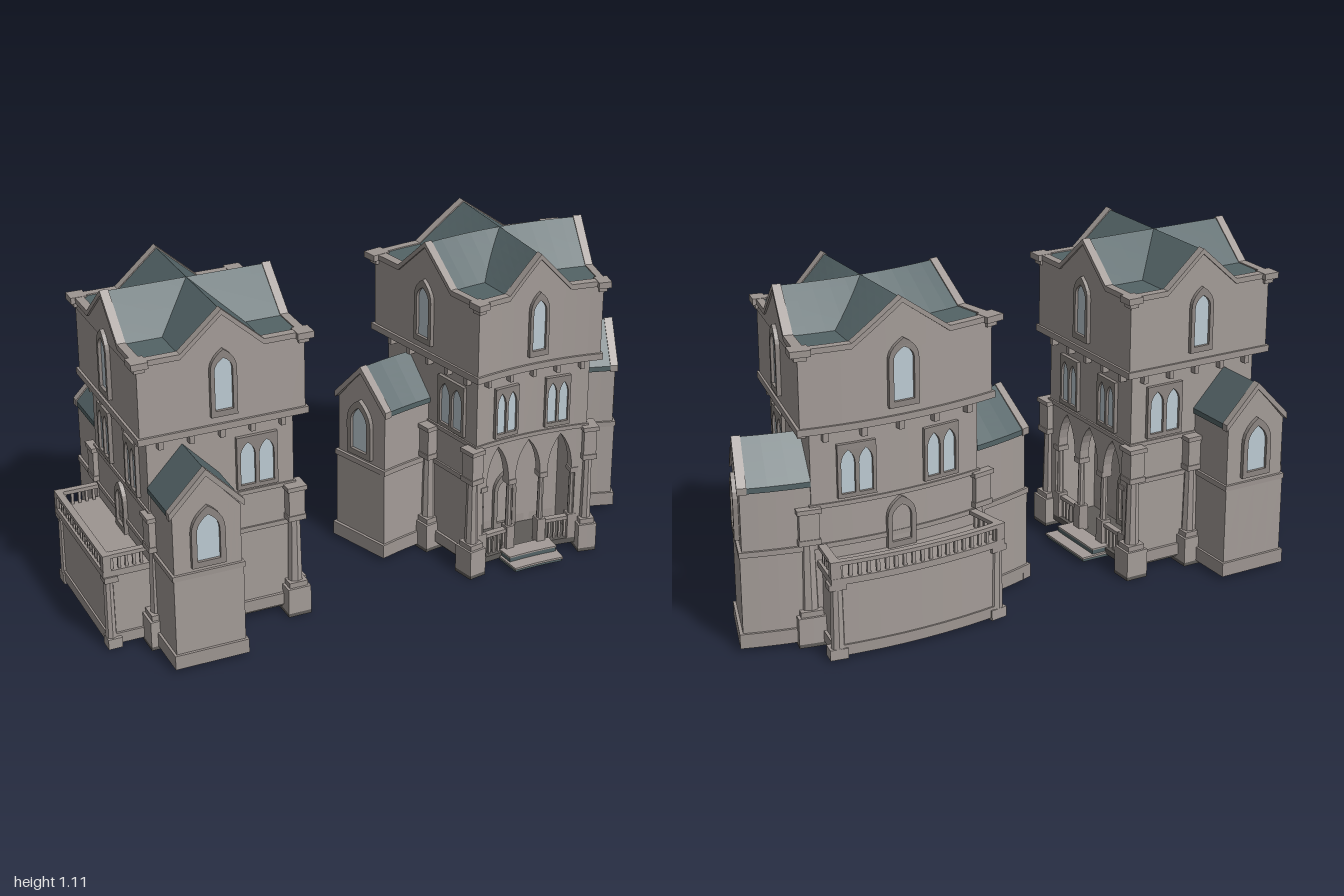
import * as THREE from 'three';

const mats = {};
for (const [name, color] of [['stone', 0xa39b97], ['trimStone', 0x9d9591], ['frameStone', 0x8c8581],
  ['slate', 0x536366], ['glass', 0xbccad2], ['darkFloor', 0x5e5b58]]) {
  mats[name] = new THREE.MeshStandardMaterial({ color });
  mats[name].name = name;
}
const { stone, trimStone, frameStone, slate, glass, darkFloor } = mats;

// outline of a pointed arch
function arch(path, cx, half, y0, spring, apex) {
  const k = spring + (apex - spring) * 0.6;
  path.moveTo(cx - half, y0);
  path.lineTo(cx + half, y0);
  path.lineTo(cx + half, spring);
  path.quadraticCurveTo(cx + half, k, cx, apex);
  path.quadraticCurveTo(cx - half, k, cx - half, spring);
  path.lineTo(cx - half, y0);
  return path;
}
function rect(x0, x1, y0, y1) {
  return new THREE.Shape([[x0, y0], [x1, y0], [x1, y1], [x0, y1]].map(p => new THREE.Vector2(...p)));
}
const place = (angle, x, z) => new THREE.Matrix4().makeRotationY(angle).setPosition(x, 0, z);
const extrude = (shape, depth) => new THREE.ExtrudeGeometry(shape, { depth, bevelEnabled: false, curveSegments: 5 });

// one house facing +z; warp moves every vertex of the finished parts
function house(warp) {
  const group = new THREE.Group();
  const v = new THREE.Vector3();

  function put(name, mat, geometry, matrix) {
    if (matrix) geometry.applyMatrix4(matrix);
    const g = geometry.index ? geometry.toNonIndexed() : geometry;
    const p = g.attributes.position;
    for (let i = 0; i < p.count; i++) {
      warp(v.fromBufferAttribute(p, i));
      p.setXYZ(i, v.x, v.y, v.z);
    }
    g.computeVertexNormals();
    const mesh = new THREE.Mesh(g, mat);
    mesh.name = name;
    group.add(mesh);
  }
  const cuts = s => Math.max(1, Math.ceil(s / 0.06));
  function box(name, mat, w, y0, y1, d, x = 0, z = 0) {
    put(name, mat, new THREE.BoxGeometry(w, y1 - y0, d, cuts(w), 1, cuts(d)).translate(x, (y0 + y1) / 2, z));
  }
  // box whose top (or whole height, for a band) follows a gable line
  function gable(name, mat, w, y0, y1, d, rise, half, matrix, band = false) {
    const g = new THREE.BoxGeometry(w, y1 - y0, d, 2 * Math.round(w / 2 / half * 6), 1, cuts(d));
    const p = g.attributes.position;
    for (let i = 0; i < p.count; i++) {
      const lift = band || p.getY(i) > 0 ? rise * Math.max(0, 1 - Math.abs(p.getX(i)) / half) : 0;
      p.setY(i, p.getY(i) + (y0 + y1) / 2 + lift);
    }
    put(name, mat, g, matrix);
  }
  function lancet(name, half, y0, y1, matrix, fill = glass) {
    const inner = half * 0.68, rise = half * 1.6;
    const args = [0, inner, y0 + 0.02, y1 - rise, y1 - 0.028];
    const shape = arch(new THREE.Shape(), 0, half, y0, y1 - rise, y1);
    shape.holes.push(arch(new THREE.Path(), ...args));
    put(name + 'Frame', frameStone, extrude(shape, 0.014), matrix);
    put(name + 'Pane', fill, extrude(arch(new THREE.Shape(), ...args), 0.004), matrix);
  }
  function pairWindow(half, y0, y1, matrix) {
    const shape = rect(-half, half, y0, y1);
    for (const s of [-1, 1]) {
      const args = [s * half * 0.46, half * 0.36, y0 + 0.014, y1 - 0.065, y1 - 0.02];
      shape.holes.push(arch(new THREE.Path(), ...args));
      put('pairedPane', glass, extrude(arch(new THREE.Shape(), ...args), 0.004), matrix);
    }
    put('pairedFrame', frameStone, extrude(shape, 0.013), matrix);
  }
  function pier(x, z) {
    box('pierFoot', darkFloor, 0.078, 0, 0.012, 0.078, x, z);
    box('pierBase', stone, 0.078, 0.012, 0.1, 0.078, x, z);
    box('pierMoulding', trimStone, 0.062, 0.1, 0.118, 0.062, x, z);
    put('pierShaft', stone, new THREE.CylinderGeometry(0.02, 0.025, 0.23, 8).translate(x, 0.23, z));
    box('pierCapital', trimStone, 0.06, 0.34, 0.358, 0.06, x, z);
    box('pierBlock', stone, 0.054, 0.358, 0.445, 0.054, x, z);
    box('pierCap', trimStone, 0.066, 0.445, 0.46, 0.066, x, z);
  }

  // main body, with a recessed porch at the front
  box('floor', darkFloor, 0.5, 0.02, 0.04, 0.48);
  box('rearBody', stone, 0.5, 0.04, 0.46, 0.32, 0, -0.08);
  box('stringCourse', trimStone, 0.512, 0.318, 0.334, 0.326, 0, -0.083);
  box('plinth', trimStone, 0.52, 0.03, 0.07, 0.33, 0, -0.085);
  box('secondFloor', stone, 0.5, 0.46, 0.71, 0.48);
  box('floorBand', trimStone, 0.512, 0.452, 0.466, 0.492);
  for (const s of [-1, 1]) {
    box('porchCheek', stone, 0.04, 0.04, 0.46, 0.16, s * 0.23, 0.16);
    box('cheekBand', trimStone, 0.04, 0.318, 0.334, 0.16, s * 0.236, 0.16);
    box('cheekPlinth', trimStone, 0.04, 0.03, 0.07, 0.16, s * 0.24, 0.16);
    for (const z of [-0.23, 0.005, 0.235]) pier(s * 0.26, z);
  }

  // porch arcade
  for (const [cx, w, open] of [[-0.141, 0.138, 0.053], [0, 0.144, 0.057], [0.141, 0.138, 0.053]]) {
    const shape = new THREE.Shape();
    shape.moveTo(cx - w / 2, 0.3);
    shape.lineTo(cx - open, 0.3);
    shape.quadraticCurveTo(cx - open, 0.39, cx, 0.44);
    shape.quadraticCurveTo(cx + open, 0.39, cx + open, 0.3);
    shape.lineTo(cx + w / 2, 0.3);
    shape.lineTo(cx + w / 2, 0.455);
    shape.lineTo(cx - w / 2, 0.455);
    put('porchArch', stone, extrude(shape, 0.035), place(0, 0, 0.205));
  }
  for (const s of [-1, 1]) {
    for (const x of [0.071, 0.205]) {
      box('columnBase', trimStone, 0.036, 0.04, 0.13, 0.036, s * x, 0.223);
      put('column', stone, new THREE.CylinderGeometry(0.011, 0.013, 0.17, 8).translate(s * x, 0.215, 0.223));
      box('columnCapital', trimStone, 0.034, 0.288, 0.306, 0.04, s * x, 0.223);
    }
    box('porchRail', trimStone, 0.12, 0.107, 0.12, 0.022, s * 0.138, 0.223);
    for (let i = -2; i <= 2; i++) box('porchBaluster', stone, 0.009, 0.04, 0.108, 0.009, s * 0.138 + i * 0.022, 0.223);
  }
  lancet('frontDoor', 0.045, 0.04, 0.25, place(0, 0, 0.08), stone);
  box('upperStep', slate, 0.22, 0.026, 0.042, 0.06, 0, 0.26);
  box('upperTread', stone, 0.225, 0.042, 0.047, 0.064, 0, 0.26);
  box('lowerStep', slate, 0.23, 0.01, 0.02, 0.1, 0, 0.28);
  box('lowerTread', stone, 0.24, 0.02, 0.027, 0.1, 0, 0.285);

  // overhanging top floor with corbels
  box('topFloor', stone, 0.56, 0.72, 0.97, 0.54);
  box('topFloorMoulding', trimStone, 0.576, 0.708, 0.73, 0.556);
  for (let i = -2; i <= 2; i++) {
    for (const s of [-1, 1]) {
      box('corbel', trimStone, 0.016, 0.675, 0.71, 0.026, i * 0.105, s * 0.25);
      box('corbel', trimStone, 0.026, 0.675, 0.71, 0.016, s * 0.26, i * 0.1);
    }
  }

  // crossed gable roof with thin parapets flush with the ridges
  gable('roof', slate, 0.28, 0.96, 0.98, 0.53, 0.12, 0.14, place(0, 0, 0));
  gable('crossRoof', slate, 0.27, 0.96, 0.98, 0.55, 0.12, 0.135, place(Math.PI / 2, 0, 0));
  box('roofCorners', slate, 0.54, 0.955, 0.98, 0.52);
  const sides = [[0, 0, 0.27, 0.56], [Math.PI, 0, -0.27, 0.56], [Math.PI / 2, 0.28, 0, 0.54], [-Math.PI / 2, -0.28, 0, 0.54]];
  for (const [a, x, z, w] of sides) {
    const edge = place(a, x * 0.98, z * 0.98);
    gable('parapet', stone, w, 0.94, 0.97, 0.014, 0.12, w / 4, edge);
    gable('coping', trimStone, w, 0.966, 0.984, 0.028, 0.121, w / 4, edge, true);
    lancet('topWindow', 0.043, 0.757, 0.978, place(a, x, z));
  }
  for (const sx of [-1, 1]) for (const sz of [-1, 1]) {
    box('cornerBlock', trimStone, 0.054, 0.964, 0.985, 0.054, sx * 0.276, sz * 0.266);
    box('cornerCorbel', trimStone, 0.034, 0.948, 0.964, 0.034, sx * 0.274, sz * 0.264);
  }

  // second floor paired windows
  for (const s of [-1, 1]) {
    pairWindow(0.054, 0.478, 0.655, place(0, s * 0.115, 0.24));
    pairWindow(0.054, 0.478, 0.655, place(Math.PI, s * 0.125, -0.24));
    pairWindow(0.068, 0.476, 0.655, place(s * Math.PI / 2, s * 0.25, 0.115));
  }

  // side wings, standing on an open plinth frame
  for (const s of [-1, 1]) {
    const a = s * Math.PI / 2, z = -0.125;
    box('wingPlinthEnd', trimStone, 0.03, 0.012, 0.06, 0.244, s * 0.437, z);
    for (const t of [-1, 1]) box('wingPlinthSide', trimStone, 0.19, 0.012, 0.06, 0.03, s * 0.345, z + t * 0.107);
    box('wingLower', stone, 0.2, 0.05, 0.325, 0.228, s * 0.343, z);
    box('wingBand', trimStone, 0.2, 0.316, 0.334, 0.236, s * 0.346, z);
    gable('wingUpper', stone, 0.22, 0.33, 0.53, 0.19, 0.125, 0.11, place(a, s * 0.342, z));
    gable('wingRoof', slate, 0.236, 0.527, 0.545, 0.17, 0.125, 0.118, place(a, s * 0.335, z), true);
    gable('wingCoping', trimStone, 0.242, 0.525, 0.548, 0.026, 0.126, 0.121, place(a, s * 0.431, z), true);
    lancet('wingWindow', 0.055, 0.35, 0.555, place(a, s * 0.437, z));
  }

  // rear balcony, also on an open plinth frame
  box('balconyWall', stone, 0.45, 0.04, 0.27, 0.14, 0, -0.31);
  box('balconyPlinth', trimStone, 0.466, 0.014, 0.05, 0.03, 0, -0.371);
  box('balconySlab', trimStone, 0.476, 0.258, 0.28, 0.152, 0, -0.318);
  box('balconyRail', trimStone, 0.476, 0.322, 0.335, 0.022, 0, -0.382);
  for (let i = -9; i <= 9; i++) box('baluster', stone, 0.009, 0.28, 0.323, 0.009, i * 0.0235, -0.382);
  for (const s of [-1, 1]) {
    box('balconyPlinthSide', trimStone, 0.03, 0.014, 0.05, 0.14, s * 0.218, -0.31);
    box('balconySideRail', trimStone, 0.022, 0.322, 0.335, 0.13, s * 0.226, -0.315);
    for (let i = 0; i < 5; i++) box('baluster', stone, 0.009, 0.28, 0.323, 0.009, s * 0.226, -0.265 - i * 0.024);
    box('balconyPost', trimStone, 0.026, 0.28, 0.335, 0.026, s * 0.226, -0.38);
    box('balconyPierBase', stone, 0.046, 0.005, 0.04, 0.046, s * 0.222, -0.368);
    put('balconyPier', stone, new THREE.CylinderGeometry(0.016, 0.018, 0.2, 8).translate(s * 0.222, 0.14, -0.374));
    box('balconyPierCap', trimStone, 0.044, 0.24, 0.26, 0.044, s * 0.222, -0.37);
  }
  lancet('balconyDoor', 0.042, 0.28, 0.45, place(Math.PI, 0, -0.24), stone);
  return group;
}

export function createModel() {
  const model = new THREE.Group();
  model.name = 'twoHouses';

  const straight = house(() => {});
  straight.name = 'straightHouse';
  straight.rotation.y = Math.PI / 2;
  straight.position.set(-0.603, 0, 0);

  // the second house is fanned around a point far in front of it
  const R = 1.38;
  const curved = house(p => {
    const r = R - p.z, a = p.x / R;
    p.x = r * Math.sin(a);
    p.z = R - r * Math.cos(a);
  });
  curved.name = 'curvedHouse';
  curved.position.set(0.465, 0, 0.035);

  model.add(straight, curved);
  return model;
}
